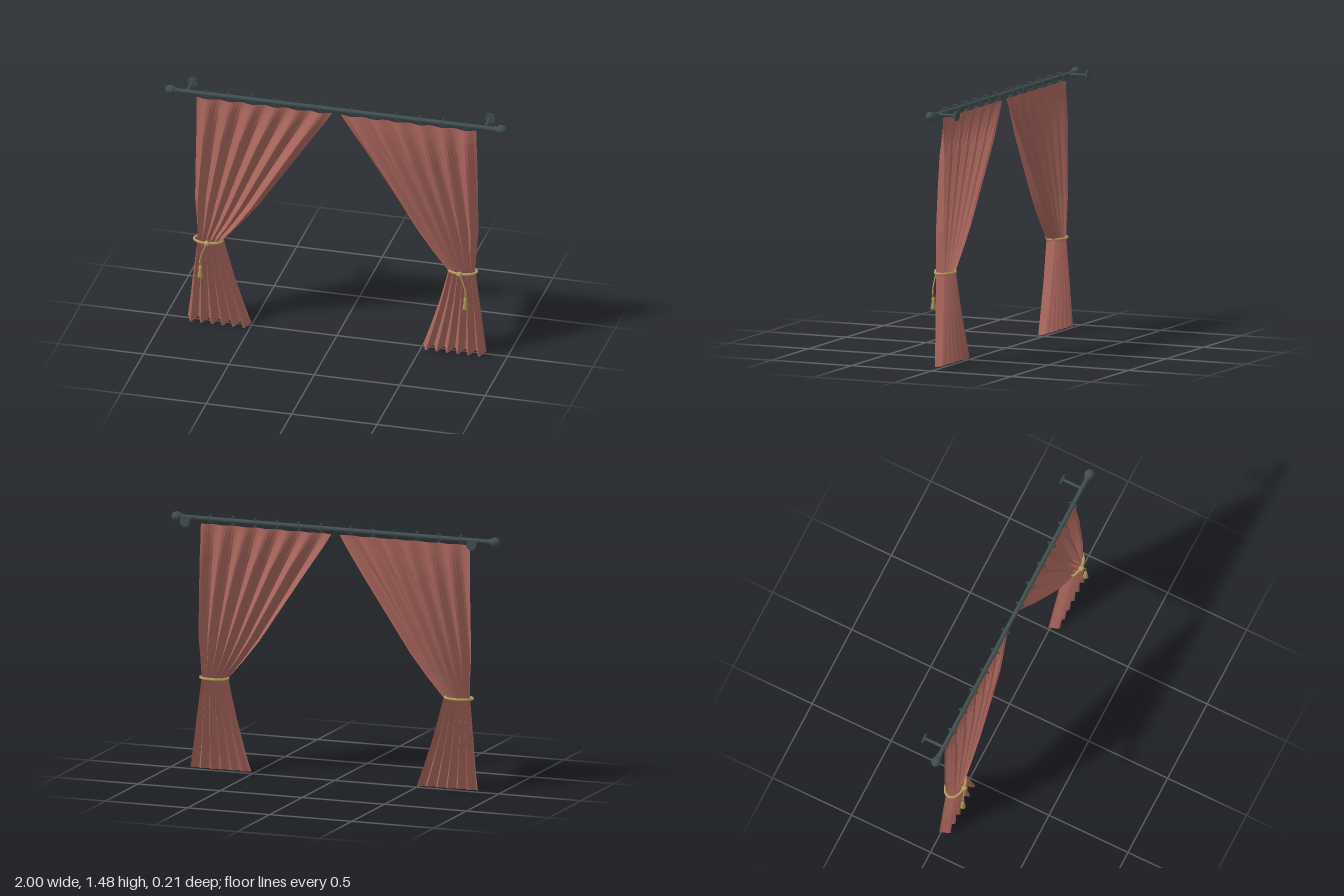
import * as THREE from 'three';

const fabric = new THREE.MeshStandardMaterial({ color: 0xa9665d, side: THREE.DoubleSide, flatShading: true });
fabric.name = 'rose fabric';
const iron = new THREE.MeshStandardMaterial({ color: 0x3f4e4d });
iron.name = 'dark iron';
const gold = new THREE.MeshStandardMaterial({ color: 0xb59a5c });
gold.name = 'gold cord';

const ROD_Y = 1.45, ROD_Z = 0.02;

function add(parent, name, geometry, material, x = 0, y = 0, z = 0) {
  const mesh = new THREE.Mesh(geometry, material);
  mesh.name = name;
  mesh.position.set(x, y, z);
  parent.add(mesh);
  return mesh;
}

// Pleated panel: rows of [y, outer x, inner x, pleat depth, centre z]
const ROWS = [
  [1.42, 0.82, 0.025, 0.008, 0.02],
  [1.34, 0.82, 0.075, 0.016, 0.024],
  [1.2, 0.823, 0.17, 0.028, 0.028],
  [1.0, 0.827, 0.305, 0.03, 0.031],
  [0.77, 0.83, 0.46, 0.031, 0.033],
  [0.65, 0.82, 0.555, 0.03, 0.034],
  [0.53, 0.812, 0.66, 0.029, 0.034],
  [0.44, 0.823, 0.638, 0.029, 0.032],
  [0.3, 0.84, 0.6, 0.029, 0.028],
  [0.15, 0.857, 0.552, 0.029, 0.024],
  [0.005, 0.875, 0.503, 0.029, 0.021],
];

function curtainGeometry(side) {
  const pleats = 6, steps = 8, cols = pleats * steps;
  const pos = [], index = [];
  ROWS.forEach(([y, outer, inner, depth, zc], r) => {
    for (let c = 0; c <= cols; c++) {
      const t = c / cols, a = t * pleats * Math.PI * 2;
      const x = THREE.MathUtils.lerp(inner, outer, t);
      const hem = r === ROWS.length - 1 ? 0.005 * Math.cos(a) : 0;
      pos.push(side * x, y + hem, zc - depth * Math.cos(a));
      if (r && c) {
        const d = r * (cols + 1) + c, b = d - cols - 1;
        if (side > 0) index.push(b - 1, d - 1, d, b - 1, d, b);
        else index.push(b - 1, d, d - 1, b - 1, b, d);
      }
    }
  });
  const g = new THREE.BufferGeometry();
  g.setAttribute('position', new THREE.Float32BufferAttribute(pos, 3));
  g.setIndex(index);
  g.computeVertexNormals();
  return g;
}

// Oval cord round the gathered cloth, with knot and hanging tassel
function tieback(side) {
  const g = new THREE.Group();
  g.name = 'tieback';
  const loop = [];
  for (let i = 0; i < 24; i++) {
    const a = (i / 24) * Math.PI * 2;
    loop.push(new THREE.Vector3(side * (0.745 + 0.082 * Math.cos(a)), 0.53, 0.03 + 0.05 * Math.sin(a)));
  }
  add(g, 'cordLoop', new THREE.TubeGeometry(new THREE.CatmullRomCurve3(loop, true), 48, 0.008, 8, true), gold);
  add(g, 'knot', new THREE.SphereGeometry(0.017, 16, 12), gold, side * 0.74, 0.53, 0.085);
  const path = new THREE.CatmullRomCurve3([
    new THREE.Vector3(side * 0.742, 0.53, 0.087),
    new THREE.Vector3(side * 0.764, 0.475, 0.092),
    new THREE.Vector3(side * 0.777, 0.43, 0.094),
    new THREE.Vector3(side * 0.776, 0.38, 0.093),
  ]);
  add(g, 'tasselCord', new THREE.TubeGeometry(path, 16, 0.004, 6), gold);
  const profile = [[0, 0.07], [0.008, 0.066], [0.01, 0.055], [0.008, 0.046], [0.016, 0], [0, 0]]
    .reverse().map(([r, y]) => new THREE.Vector2(r, y));
  add(g, 'tassel', new THREE.LatheGeometry(profile, 14), gold, side * 0.776, 0.32, 0.092);
  return g;
}

export function createModel() {
  const model = new THREE.Group();
  model.name = 'curtains';

  // Rod
  const rod = add(model, 'rod', new THREE.CylinderGeometry(0.013, 0.013, 1.9, 16), iron, 0, ROD_Y, ROD_Z);
  rod.rotation.z = Math.PI / 2;

  for (const side of [1, -1]) {
    const half = new THREE.Group();
    half.name = side > 0 ? 'leftHalf' : 'rightHalf';
    model.add(half);

    // Finial and its collar
    add(half, 'finial', new THREE.SphereGeometry(0.028, 18, 14), iron, side * 0.968, ROD_Y, ROD_Z).scale.x = 1.14;
    const collar = add(half, 'collar', new THREE.CylinderGeometry(0.017, 0.017, 0.012, 16), iron, side * 0.935, ROD_Y, ROD_Z);
    collar.rotation.z = Math.PI / 2;

    // Wall bracket
    const arm = add(half, 'bracketArm', new THREE.CylinderGeometry(0.009, 0.009, 0.12, 12), iron, side * 0.872, ROD_Y, -0.04);
    arm.rotation.x = Math.PI / 2;
    const plate = add(half, 'wallPlate', new THREE.CylinderGeometry(0.03, 0.03, 0.008, 20), iron, side * 0.872, ROD_Y, -0.102);
    plate.rotation.x = Math.PI / 2;

    // Rings, one above each pleat
    for (let i = 0; i < 6; i++) {
      const ring = add(half, 'ring', new THREE.TorusGeometry(0.024, 0.004, 8, 20), iron, side * (0.09 + i * 0.1345), ROD_Y, ROD_Z);
      ring.rotation.y = Math.PI / 2;
    }

    add(half, 'curtain', curtainGeometry(side), fabric);
    half.add(tieback(side));
  }
  return model;
}
